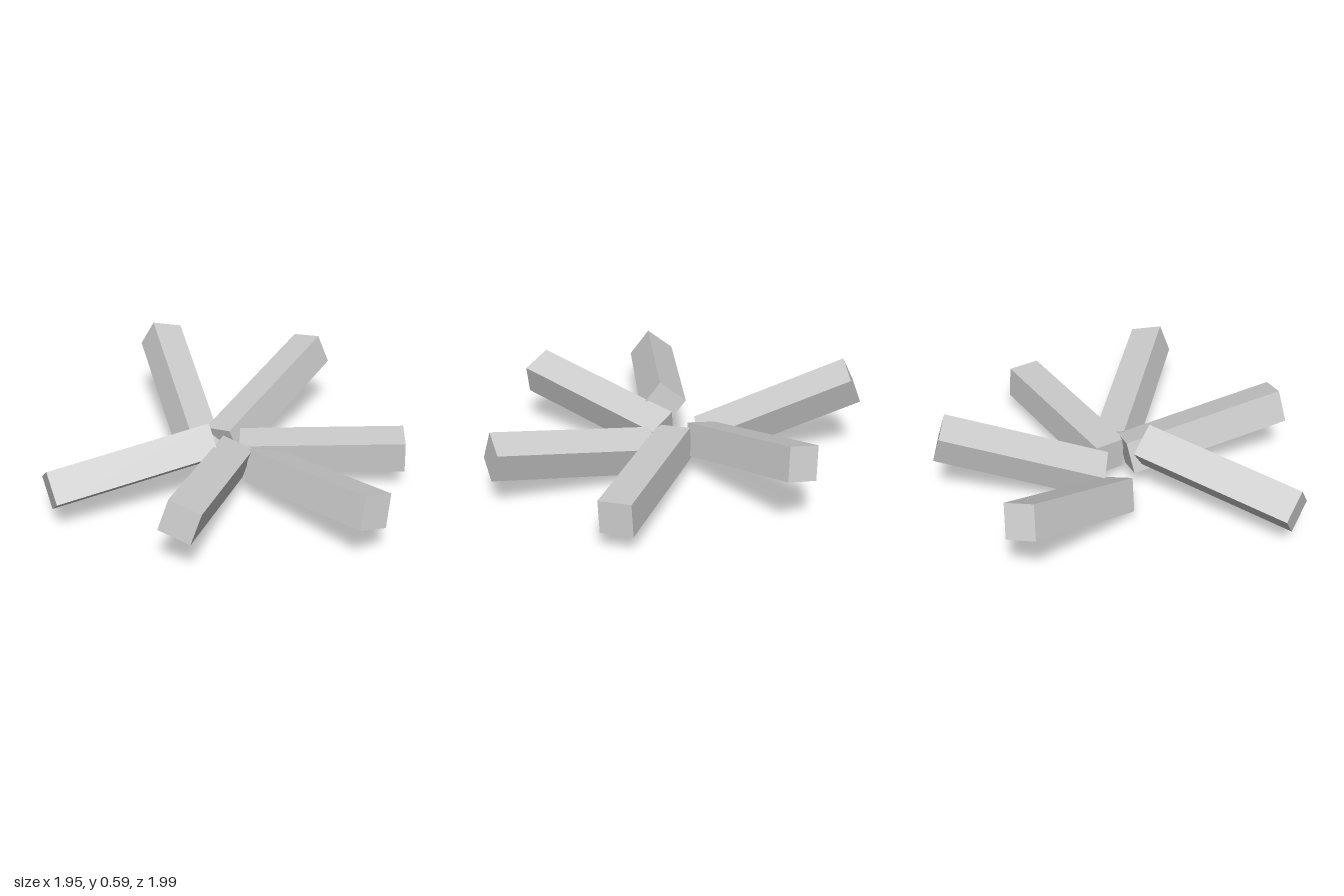
import * as THREE from 'three';

const THICKNESS = 0.185;

// Each log: centre of its inner end, centre of its outer end, and the normal of its upper face
const LOGS = [
  { name: 'backLog', inner: [-0.183, 0.18, -0.082], outer: [-0.03, 0.425, -0.955], up: [-0.053, 0.177, 0.037] },
  { name: 'backRightLog', inner: [-0.283, 0.115, -0.005], outer: [-0.876, 0.485, -0.598], up: [0.096, 0.162, 0.006] },
  { name: 'backLeftLog', inner: [-0.043, 0.192, -0.021], outer: [0.787, 0.217, -0.418], up: [0.001, 0.182, 0.012] },
  { name: 'frontLeftLog', inner: [0.103, 0.17, 0.03], outer: [0.938, 0.316, 0.39], up: [0, 0.177, -0.06] },
  { name: 'frontLog', inner: [-0.041, 0.207, 0.073], outer: [0.118, 0.354, 0.967], up: [0.05, 0.178, -0.034] },
  { name: 'frontRightLog', inner: [-0.135, 0.325, 0.166], outer: [-0.728, 0.24, 0.87], up: [-0.095, 0.146, -0.063] },
];

// A square beam running between two end centres, rolled so its top faces "up"
function makeLog({ name, inner, outer, up }, material) {
  const start = new THREE.Vector3(...inner);
  const end = new THREE.Vector3(...outer);
  const along = end.clone().sub(start);
  const length = along.length();
  along.normalize();
  const side = new THREE.Vector3(...up).cross(along).normalize();
  const top = along.clone().cross(side);

  const log = new THREE.Mesh(new THREE.BoxGeometry(THICKNESS, THICKNESS, length), material);
  log.name = name;
  log.quaternion.setFromRotationMatrix(new THREE.Matrix4().makeBasis(side, top, along));
  log.position.copy(start).add(end).multiplyScalar(0.5);
  return log;
}

export function createModel() {
  const model = new THREE.Group();
  model.name = 'logPile';
  const material = new THREE.MeshStandardMaterial({ color: 0xcccccc, flatShading: true });
  for (const log of LOGS) model.add(makeLog(log, material));
  return model;
}
